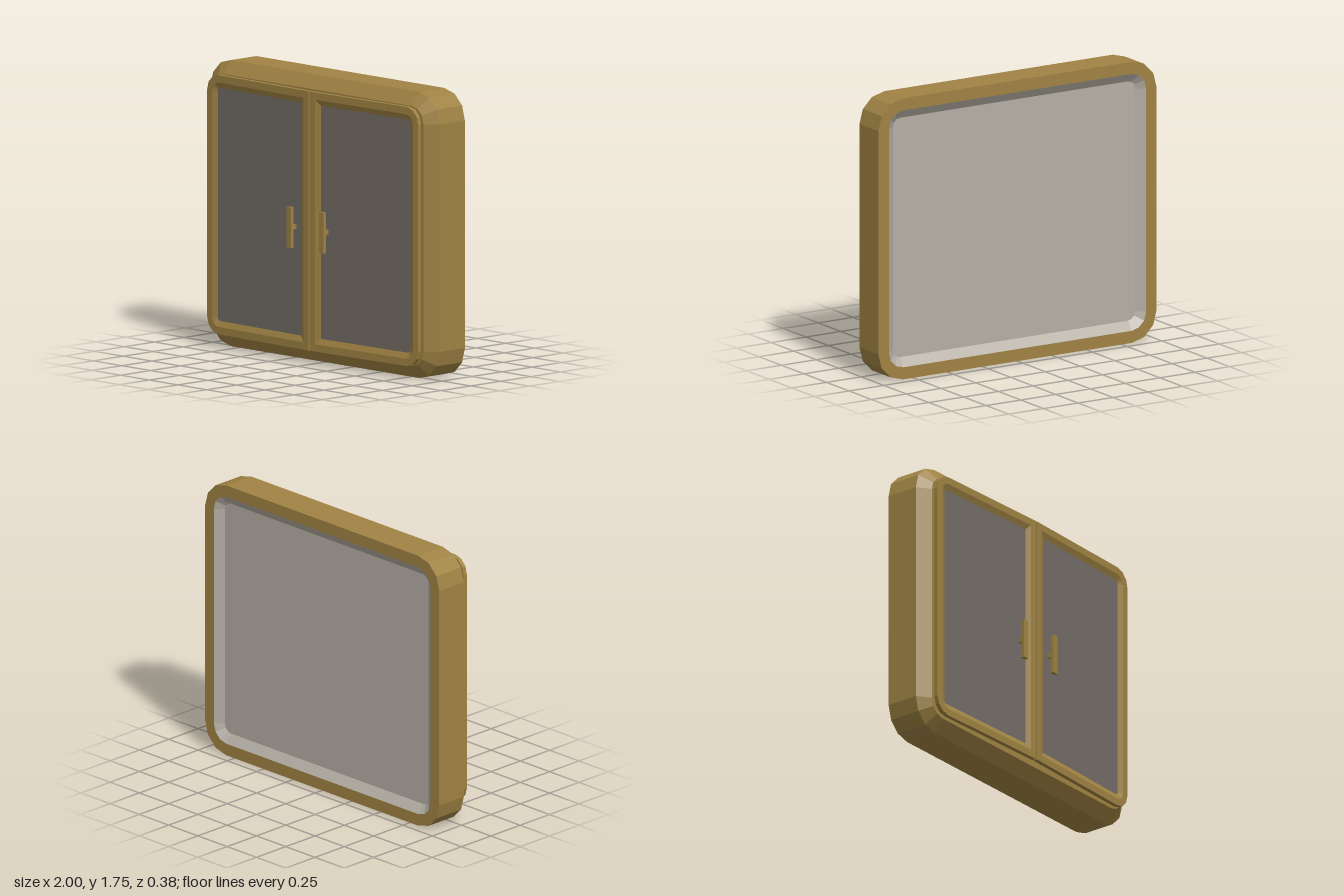
import * as THREE from 'three';

const wood = new THREE.MeshStandardMaterial({ color: 0xa08343, flatShading: true });
const glass = new THREE.MeshStandardMaterial({ color: 0x736d67, side: THREE.DoubleSide, flatShading: true });
const backing = new THREE.MeshStandardMaterial({ color: 0xb5afa5, side: THREE.DoubleSide, flatShading: true });

// Rounded rectangle, inset by d, at depth z; counter-clockwise seen from the front.
// rL and rR are the corner radii on the -x and +x sides.
function ring({ x0, x1, y0, y1, rL, rR }, d, z) {
  const points = [];
  const corners = [[x1, y0, rR, -1, 1], [x1, y1, rR, -1, -1], [x0, y1, rL, 1, -1], [x0, y0, rL, 1, 1]];
  corners.forEach(([x, y, radius, sx, sy], c) => {
    const r = Math.max(radius - d, 0);
    for (let i = 0; i <= 3; i++) {
      const a = (c - 1 + i / 3) * Math.PI / 2;
      points.push([x + sx * (d + r) + r * Math.cos(a), y + sy * (d + r) + r * Math.sin(a), z]);
    }
  });
  return points;
}

// Joins successive [inset, z] rings into a faceted surface; optionally caps one ring.
function loft(outline, profile, capIndex = -1) {
  const rings = profile.map(([d, z]) => ring(outline, d, z));
  const pos = [];
  for (let k = 0; k < rings.length - 1; k++) {
    const a = rings[k], b = rings[k + 1];
    for (let i = 0; i < a.length; i++) {
      const j = (i + 1) % a.length;
      pos.push(...a[i], ...a[j], ...b[j], ...a[i], ...b[j], ...b[i]);
    }
  }
  if (capIndex >= 0) {
    const cap = rings[capIndex];
    for (let i = 1; i < cap.length - 1; i++) pos.push(...cap[0], ...cap[i + 1], ...cap[i]);
  }
  const geometry = new THREE.BufferGeometry();
  geometry.setAttribute('position', new THREE.Float32BufferAttribute(pos, 3));
  geometry.computeVertexNormals();
  return geometry;
}

function addMesh(parent, name, geometry, material, x = 0, y = 0, z = 0) {
  const mesh = new THREE.Mesh(geometry, material);
  mesh.name = name;
  mesh.position.set(x, y, z);
  parent.add(mesh);
}

// One door, hinged at its outer edge; s is +1 for left and -1 for right.
function createDoor(s) {
  const door = new THREE.Group();
  door.name = s > 0 ? 'leftDoor' : 'rightDoor';
  const width = 0.915;
  const outline = s > 0
    ? { x0: -width, x1: 0, y0: 0.085, y1: 1.67, rL: 0, rR: 0.1 }
    : { x0: 0, x1: width, y0: 0.085, y1: 1.67, rL: 0.1, rR: 0 };

  // Frame with a bevel sloping in to the pane
  addMesh(door, 'doorFrame', loft(outline,
    [[0.08, -0.012], [0, -0.012], [0, 0.015], [0.045, 0.015], [0.08, 0], [0.08, -0.012]]), wood);
  addMesh(door, 'doorPane', loft(outline, [[0.08, 0]], 0), glass);

  // Handle bar on a short post
  const handleX = -s * 0.78;
  addMesh(door, 'handleBar', new THREE.BoxGeometry(0.038, 0.25, 0.022), wood, handleX, 0.825, 0.042);
  addMesh(door, 'handlePost', new THREE.BoxGeometry(0.022, 0.028, 0.035), wood, handleX, 0.825, 0.018);

  door.position.set(s * 0.92, 0, 0.11);
  door.rotation.y = s * 0.033;
  return door;
}

export function createModel() {
  const model = new THREE.Group();
  model.name = 'cabinet';

  // Surround with chamfered front edge
  const body = { x0: -1, x1: 1, y0: 0, y1: 1.75, rL: 0.18, rR: 0.18 };
  addMesh(model, 'cabinetSurround', loft(body,
    [[0.075, -0.19], [0, -0.19], [0, 0.02], [0.08, 0.08], [0.13, 0.08], [0.13, -0.15]]), wood);

  // Recessed back panel with sloping rim
  addMesh(model, 'backPanel', loft(body, [[0.13, -0.15], [0.075, -0.19]], 0), backing);

  for (const s of [1, -1]) model.add(createDoor(s));
  return model;
}
